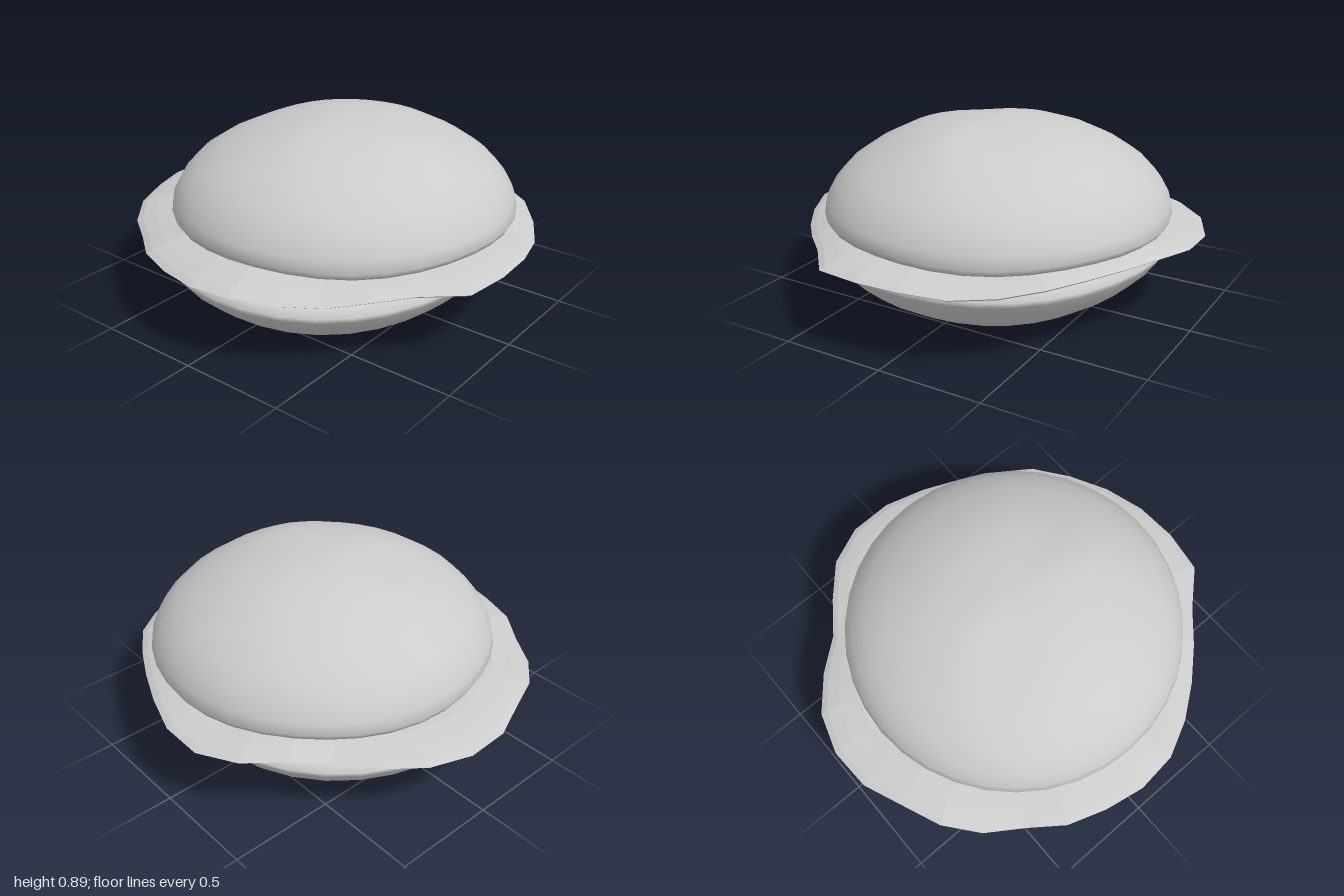
import * as THREE from 'three';
import { mergeVertices } from 'three/addons/utils/BufferGeometryUtils.js';

// Turned body (profile runs bottom to top) whose vertices are moved by a rule
function turned(name, profile, segments, move, flatShading = false) {
  let geo = new THREE.LatheGeometry(profile.map(([r, y]) => new THREE.Vector2(r, y)), segments);
  geo.deleteAttribute('uv');
  geo.deleteAttribute('normal');
  const pos = geo.attributes.position;
  const v = new THREE.Vector3();
  for (let i = 0; i < pos.count; i++) {
    v.fromBufferAttribute(pos, i);
    move(v);
    pos.setXYZ(i, v.x, v.y, v.z);
  }
  geo = mergeVertices(geo, 1e-4);
  geo.computeVertexNormals();
  const mesh = new THREE.Mesh(geo, new THREE.MeshStandardMaterial({ color: 0xcccccc, flatShading }));
  mesh.name = name;
  return mesh;
}

const dent = (v, x, z, size, depth) =>
  depth * Math.exp(-((v.x - x) ** 2 + (v.z - z) ** 2) / (size * size));

// Leaf outline seen from above, [x, z] in order from +x towards +z
const leafOutline = [
  [1, 0], [0.975, 0.31], [0.8, 0.47], [0.62, 0.66], [0.42, 0.83], [0.1, 0.97], [-0.1, 0.94],
  [-0.38, 0.86], [-0.55, 0.73], [-0.68, 0.65], [-0.81, 0.52], [-0.87, 0.35], [-0.96, 0.18],
  [-1, 0], [-0.97, -0.2], [-0.88, -0.38], [-0.72, -0.51], [-0.6, -0.61], [-0.49, -0.78],
  [-0.35, -0.92], [-0.17, -0.98], [0.02, -0.97], [0.2, -0.91], [0.4, -0.82], [0.57, -0.73],
  [0.72, -0.63], [0.86, -0.45], [0.96, -0.25],
];
const TAU = Math.PI * 2;
const polar = leafOutline.map(([x, z]) => [(Math.atan2(z, x) + TAU) % TAU, Math.hypot(x, z)]);
polar.push([TAU, polar[0][1]]);

function leafRadius(angle) {
  const a = (angle + TAU) % TAU;
  const k = Math.max(1, polar.findIndex(([b]) => b >= a));
  const [a0, r0] = polar[k - 1], [a1, r1] = polar[k];
  return r0 + (r1 - r0) * (a - a0) / (a1 - a0);
}

export function createModel() {
  const burger = new THREE.Group();
  burger.name = 'burger';

  // Bottom bun: shallow bowl tilted slightly up at the back
  burger.add(turned('bottomBun', [
    [0, 0.025], [0.2, 0.022], [0.42, 0.028], [0.59, 0.065], [0.68, 0.12], [0.76, 0.19],
    [0.81, 0.255], [0.825, 0.285], [0.79, 0.31], [0.7, 0.325], [0.4, 0.33], [0, 0.33],
  ], 32, (v) => {
    const r = Math.hypot(v.x, v.z), a = Math.atan2(v.z, v.x);
    v.y += -0.04 * v.z + 0.008 * Math.sin(4 * a + 1) * r;
    v.x -= 0.01;
  }));

  // Lettuce: thin faceted disc with an irregular, wavy rim
  burger.add(turned('lettuce', [
    [0, 0.32], [0.5, 0.315], [0.78, 0.318], [0.89, 0.345], [0.97, 0.37], [1, 0.388],
    [0.97, 0.403], [0.9, 0.422], [0.8, 0.44], [0.5, 0.45], [0, 0.45],
  ], 30, (v) => {
    const r = Math.hypot(v.x, v.z), a = Math.atan2(v.z, v.x);
    const edge = Math.min(1, r * r);
    // The inner part stays round, the rim follows the outline
    const s = 1 + (leafRadius(a) - 1) * THREE.MathUtils.smoothstep(r, 0.4, 1);
    v.x *= s;
    v.z *= s;
    v.y += edge * (-0.018 * v.z + 0.008 * Math.sin(5 * a) + 0.006 * Math.sin(9 * a + 2));
    v.y += dent(v, 0.3, -0.72, 0.3, 0.022);
  }, true));

  // Top bun: soft dome with a rolled lower edge and a few shallow dents
  burger.add(turned('topBun', [
    [0, 0.45], [0.5, 0.445], [0.76, 0.435], [0.805, 0.445], [0.822, 0.475], [0.812, 0.53],
    [0.77, 0.605], [0.7, 0.68], [0.59, 0.755], [0.45, 0.825], [0.32, 0.865], [0.2, 0.885],
    [0.1, 0.892], [0, 0.892],
  ], 36, (v) => {
    const a = Math.atan2(v.z, v.x), r = Math.hypot(v.x, v.z);
    const upper = THREE.MathUtils.smoothstep(v.y, 0.55, 0.8);
    const lower = v.y < 0.48 ? 0.008 * Math.sin(5 * a + 0.6) * r : 0;
    v.y += lower - upper * (dent(v, -0.25, 0.2, 0.15, 0.025) + dent(v, 0.3, -0.15, 0.15, 0.015)
      + dent(v, -0.5, -0.05, 0.2, 0.012));
    v.y += upper * (dent(v, -0.12, 0.05, 0.15, 0.01) + dent(v, 0.38, 0.05, 0.2, 0.018));
    v.x += 0.055;
    v.z -= 0.025;
  }));

  return burger;
}
